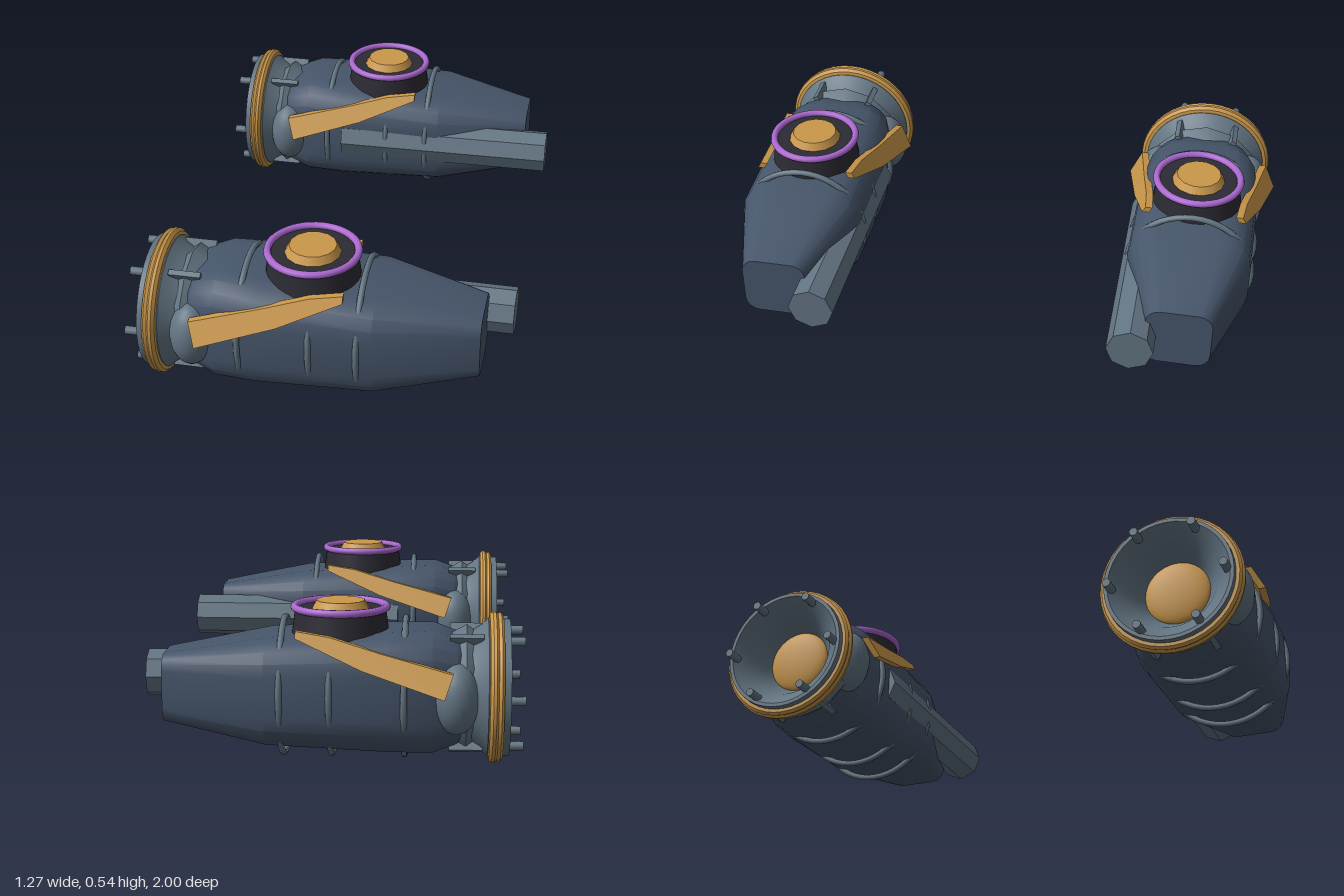
import * as THREE from 'three';
import { toCreasedNormals } from 'three/addons/utils/BufferGeometryUtils.js';

const mat = (name, color) => {
  const m = new THREE.MeshStandardMaterial({ color });
  m.name = name;
  return m;
};

// Loft of rounded rectangles along x; sections are [x, halfHeight, halfWidth, cornerRadius]
function loft(sections, steps = 5) {
  const pos = [], idx = [], n = steps * 4;
  for (const [x, h, w, r] of sections) {
    for (let c = 0; c < 4; c++) {
      const sz = c === 0 || c === 3 ? 1 : -1, sy = c < 2 ? 1 : -1;
      for (let k = 0; k < steps; k++) {
        const a = (c + k / (steps - 1)) * Math.PI / 2;
        pos.push(x, sy * (h - r) + r * Math.sin(a), sz * (w - r) + r * Math.cos(a));
      }
    }
  }
  const last = (sections.length - 1) * n;
  for (let i = 0; i < last; i += n) {
    for (let j = 0; j < n; j++) {
      const a = i + j, b = i + (j + 1) % n;
      idx.push(a, a + n, b, b, a + n, b + n);
    }
  }
  // end caps
  pos.push(sections[0][0], 0, 0, sections[sections.length - 1][0], 0, 0);
  const c0 = last + n, c1 = c0 + 1;
  for (let j = 0; j < n; j++) {
    const k = (j + 1) % n;
    idx.push(c0, j, k, c1, last + k, last + j);
  }
  const g = new THREE.BufferGeometry();
  g.setAttribute('position', new THREE.Float32BufferAttribute(pos, 3));
  g.setIndex(idx);
  g.computeVertexNormals();
  return toCreasedNormals(g, 0.45);
}

// Lathe about the x axis; points are [x, radius]
function latheX(points, sides = 40) {
  const g = new THREE.LatheGeometry(points.map(([x, r]) => new THREE.Vector2(r, x)), sides);
  g.rotateZ(-Math.PI / 2);
  return toCreasedNormals(g, 0.5);
}

export function createModel() {
  const hull = mat('slate hull', 0x46556a);
  const steel = mat('grey metal', 0x637583);
  const gold = mat('gold trim', 0xc9974a);
  const black = mat('black drum', 0x2c2b34);
  const purple = mat('purple ring', 0xaa68cf);

  const bodyGeo = loft([
    [-0.47, 0.14, 0.14, 0.1], [-0.42, 0.175, 0.18, 0.11], [-0.34, 0.202, 0.205, 0.12],
    [-0.2, 0.197, 0.222, 0.12], [0.2, 0.177, 0.222, 0.11], [0.545, 0.113, 0.116, 0.05],
  ]);
  const nozzleGeo = latheX([
    [-0.47, 0.0001], [-0.47, 0.11], [-0.5, 0.13], [-0.54, 0.155], [-0.575, 0.19], [-0.592, 0.212],
    [-0.592, 0.225], [-0.52, 0.228], [-0.495, 0.205], [-0.47, 0.19], [-0.45, 0.19], [-0.39, 0.15],
  ]);
  const trimGeo = latheX([
    [-0.57, 0.22], [-0.57, 0.238], [-0.562, 0.247], [-0.552, 0.243], [-0.545, 0.251],
    [-0.535, 0.25], [-0.525, 0.24], [-0.522, 0.222],
  ]);
  const collarGeo = latheX([[-0.49, 0.18], [-0.45, 0.21], [-0.38, 0.17]], 12);
  const bulbGeo = new THREE.SphereGeometry(0.115, 28, 16).scale(0.2, 1, 1);
  const podGeo = new THREE.SphereGeometry(1, 20, 14).scale(0.074, 0.116, 0.082);
  const ribGeo = new THREE.TorusGeometry(0.226, 0.011, 8, 48).rotateY(Math.PI / 2);
  const pegGeo = new THREE.CylinderGeometry(0.015, 0.015, 0.06, 10).rotateZ(Math.PI / 2);

  // Swept side plate, leaning inward toward the top
  const finShape = new THREE.Shape([
    [-0.407, 0.09], [-0.38, 0.015], [-0.115, 0.098], [0.1, 0.19], [0.1, 0.212], [-0.01, 0.195], [-0.17, 0.15],
  ].map(([x, y]) => new THREE.Vector2(x, y)));
  const makeFin = (s) => {
    const g = new THREE.ExtrudeGeometry(finShape, { depth: 0.025, bevelEnabled: false });
    g.translate(0, 0, -0.0125);
    const p = g.attributes.position;
    for (let i = 0; i < p.count; i++) {
      p.setZ(i, p.getZ(i) + s * (0.267 - (p.getY(i) - 0.015) * 0.53));
    }
    g.computeVertexNormals();
    return g;
  };

  // One pod; inner is the z direction toward the middle of the model
  function nacelle(inner) {
    const g = new THREE.Group();
    const add = (name, geo, m, x = 0, y = 0, z = 0) => {
      const mesh = new THREE.Mesh(geo, m);
      mesh.name = name;
      mesh.position.set(x, y, z);
      g.add(mesh);
      return mesh;
    };
    add('body', bodyGeo, hull);
    add('nozzle', nozzleGeo, steel);
    add('nozzleTrim', trimGeo, gold);
    add('collar', collarGeo, steel);
    add('nozzleCore', bulbGeo, gold, -0.475);
    for (const x of [-0.25, -0.01, 0.15]) add('rib', ribGeo, steel, x);

    // pegs and brackets around the nozzle
    for (let i = 0; i < 6; i++) {
      const a = i * Math.PI / 3, y = Math.sin(a), z = Math.cos(a);
      add('peg', pegGeo, steel, -0.608, y * 0.2, z * 0.2);
      if (i % 3) {
        const b = add('bracket', new THREE.BoxGeometry(0.11, 0.02, 0.05), steel, -0.45, y * 0.195, z * 0.195);
        b.rotation.x = -a;
      }
    }
    for (const s of [-1, 1]) {
      add('sidePod', podGeo, steel, -0.419, -0.005, s * 0.167);
      add('fin', makeFin(s), gold);
    }

    // round turret on top
    const tx = -0.035;
    add('turretDrum', new THREE.CylinderGeometry(0.15, 0.165, 0.11, 32), black, tx, 0.205);
    add('turretRing', new THREE.TorusGeometry(0.152, 0.013, 10, 48).rotateX(Math.PI / 2), purple, tx, 0.265);
    add('turretCap', new THREE.CylinderGeometry(0.08, 0.097, 0.03, 14), gold, tx, 0.272);

    // side barrel running along the inner flank
    const barrel = add('barrel', new THREE.CylinderGeometry(0.082, 0.082, 0.825, 8).rotateZ(Math.PI / 2),
      steel, 0.2225, 0, inner * 0.161);
    barrel.material = steel;
    barrel.geometry = toCreasedNormals(barrel.geometry, 0.3);
    barrel.rotation.y = inner * 0.01;
    return g;
  }

  const model = new THREE.Group();
  model.name = 'twinNacelles';
  for (const s of [-1, 1]) {
    const n = nacelle(-s);
    n.name = s > 0 ? 'frontNacelle' : 'backNacelle';
    n.position.set(0, 0.253, s * 0.722);
    model.add(n);
  }
  return model;
}
